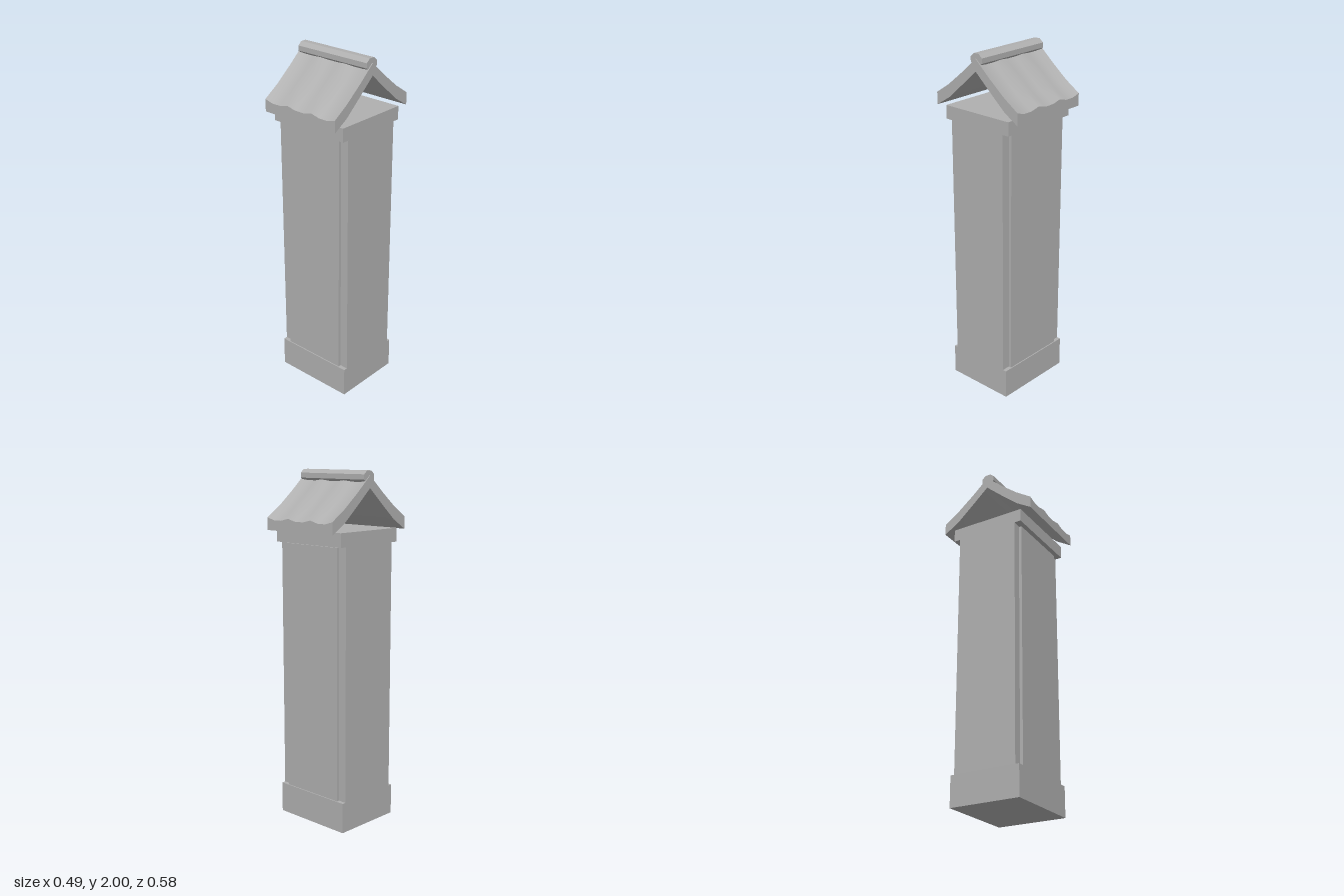
import * as THREE from 'three';
import { toCreasedNormals } from 'three/addons/utils/BufferGeometryUtils.js';

const stone = new THREE.MeshStandardMaterial({ color: 0xb0b0b0 });
stone.name = 'grey stone';

function box(name, width, y0, y1, depth, z = 0) {
  const mesh = new THREE.Mesh(new THREE.BoxGeometry(width, y1 - y0, depth), stone);
  mesh.name = name;
  mesh.position.set(0, (y0 + y1) / 2, z);
  return mesh;
}

// One curved roof slope: rippled tiles above, smooth soffit below, swept along x
function slopeGeometry() {
  const columns = [-0.247, -0.195, -0.14, -0.085, -0.03, 0.03, 0.085, 0.14, 0.195, 0.247];
  const tiles = [[0, 1.965], [0.1, 1.876], [0.2, 1.795], [0.292, 1.734]];
  const soffit = [[0, 1.907], [0.1, 1.817], [0.2, 1.73], [0.292, 1.673]];
  const rows = tiles.length;
  const ring = rows * 2;
  const positions = [];
  const indices = [];
  const quad = (a, b, c, d) => indices.push(a, b, c, a, c, d);

  columns.forEach((x) => {
    const ripple = -0.009 * Math.cos((x / 0.168) * Math.PI * 2);
    tiles.forEach(([z, y]) => positions.push(x, y + ripple, z));
    [...soffit].reverse().forEach(([z, y]) => positions.push(x, y, z));
  });
  for (let i = 0; i < columns.length - 1; i++) {
    for (let j = 0; j < ring; j++) {
      const k = (j + 1) % ring;
      quad(i * ring + j, i * ring + k, (i + 1) * ring + k, (i + 1) * ring + j);
    }
  }
  // Gable ends
  const last = (columns.length - 1) * ring;
  for (let k = 0; k < rows - 1; k++) {
    const under = ring - 1 - k;
    quad(last + under, last + k, last + k + 1, last + under - 1);
    quad(under - 1, k + 1, k, under);
  }
  const geometry = new THREE.BufferGeometry();
  geometry.setAttribute('position', new THREE.Float32BufferAttribute(positions, 3));
  geometry.setIndex(indices);
  return toCreasedNormals(geometry, 0.6);
}

export function createModel() {
  const model = new THREE.Group();
  model.name = 'roofed pillar';

  // Plinth, shaft and cap
  model.add(box('plinth', 0.49, 0, 0.175, 0.418));
  model.add(box('shaft', 0.49, 0.175, 1.605, 0.372));
  model.add(box('cap', 0.49, 1.605, 1.682, 0.452));

  // Raised panels on front and back
  for (const side of [1, -1]) {
    model.add(box(side > 0 ? 'frontPanel' : 'backPanel', 0.392, 0.175, 1.6, 0.03, side * 0.188));
  }

  // Roof slopes
  const slope = slopeGeometry();
  for (const side of [1, -1]) {
    const mesh = new THREE.Mesh(slope, stone);
    mesh.name = side > 0 ? 'frontRoofSlope' : 'backRoofSlope';
    if (side < 0) mesh.rotation.y = Math.PI;
    model.add(mesh);
  }

  // Octagonal ridge beam, flat side up
  const beam = new THREE.CylinderGeometry(0.0433, 0.0433, 0.48, 8);
  beam.rotateY(Math.PI / 8);
  beam.rotateZ(Math.PI / 2);
  beam.scale(1, 0.85, 1);
  const ridge = new THREE.Mesh(toCreasedNormals(beam, 0.3), stone);
  ridge.name = 'ridgeBeam';
  ridge.position.y = 1.966;
  model.add(ridge);

  return model;
}
